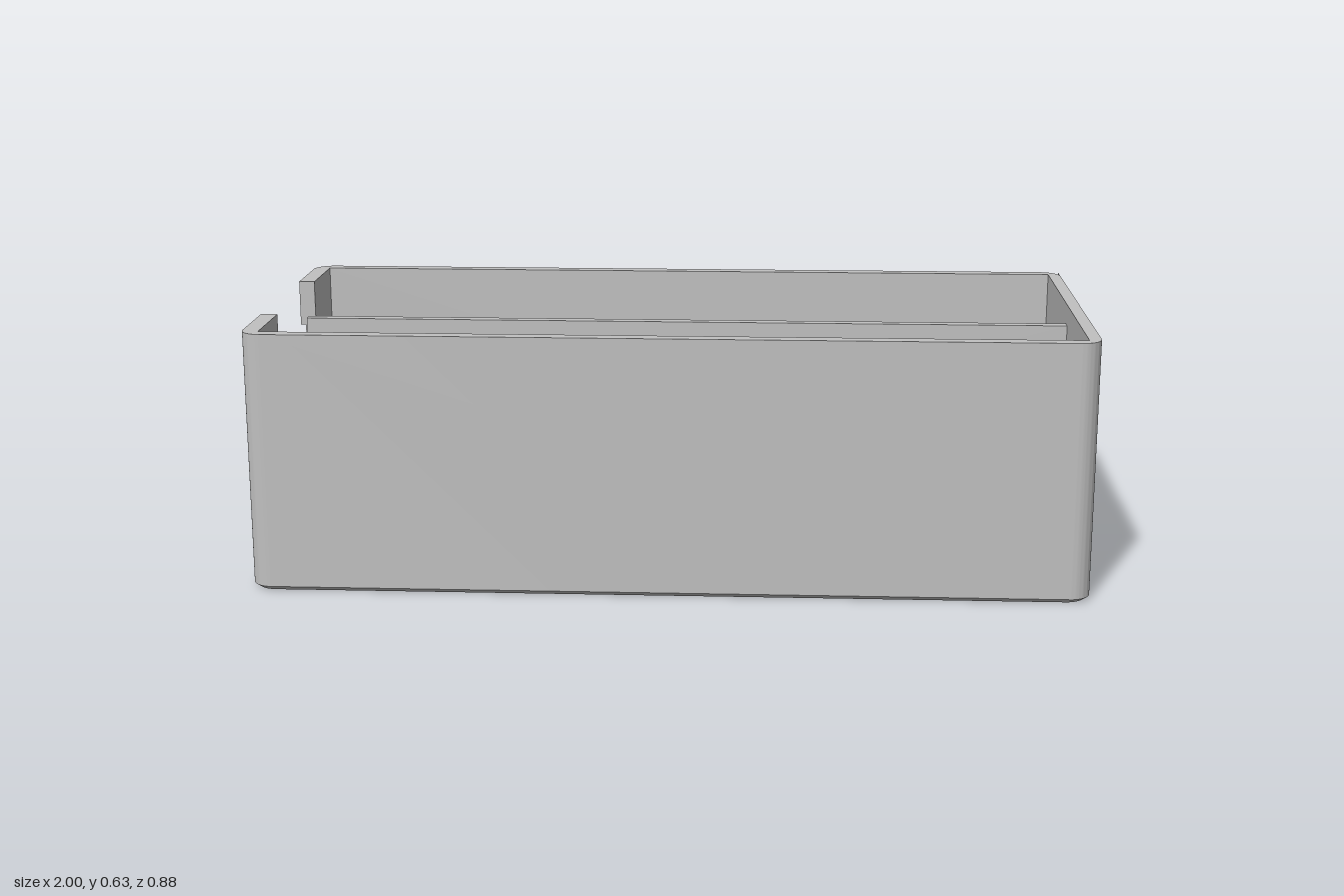
import * as THREE from 'three';
import { toCreasedNormals } from 'three/addons/utils/BufferGeometryUtils.js';

const W = 1, D = 0.442, H = 0.627, R = 0.05;   // half width, half depth, height, corner radius
const IN_L = -0.96, IN_R = 0.97, IN_Z = 0.408; // cavity limits
const LIP = 0.01, FLOOR = 0.03;                // bottom chamfer height, floor top
const NOTCH_Y = 0.485, NOTCH_Z = 0.21;

const polygon = (pts) => new THREE.Shape(pts.map(([x, y]) => new THREE.Vector2(x, y)));

// Outer rounded outline, running from the -x end all the way round back to it
function outline() {
  const s = new THREE.Shape();
  s.moveTo(-W, -D + R);
  s.absarc(-W + R, -D + R, R, Math.PI, Math.PI * 1.5);
  s.absarc(W - R, -D + R, R, Math.PI * 1.5, Math.PI * 2);
  s.absarc(W - R, D - R, R, 0, Math.PI / 2);
  s.absarc(-W + R, D - R, R, Math.PI / 2, Math.PI);
  return s;
}

// Row of drain holes towards the front
function addDrainHoles(shape) {
  for (let i = 0; i < 7; i++) {
    const hole = new THREE.Path();
    hole.absarc(-0.795 + i * 0.2465, -0.22, 0.032, 0, Math.PI * 2, true);
    shape.holes.push(hole);
  }
  return shape;
}

const extrude = (shape, depth) =>
  new THREE.ExtrudeGeometry(shape, { depth, bevelEnabled: false, curveSegments: 12 });

// Plan shape (x, -z) raised from y0 to y1
const raise = (shape, y0, y1) => extrude(shape, y1 - y0).rotateX(-Math.PI / 2).translate(0, y0, 0);

// End shape (z, y) extruded towards -x from x0 to x1
const endSlab = (shape, x0, x1) => extrude(shape, x0 - x1).rotateY(-Math.PI / 2).translate(x0, 0, 0);

// Mirror half an end outline, given from the outer bottom to the centre
const mirrored = (half) => polygon([...half, ...half.map(([z, y]) => [-z, y]).reverse()]);

export function createModel() {
  const group = new THREE.Group();
  const grey = new THREE.MeshStandardMaterial({ color: 0xc0c0c0, side: THREE.DoubleSide });
  grey.name = 'plain grey';
  const add = (name, geometry) => {
    const mesh = new THREE.Mesh(toCreasedNormals(geometry, 0.6), grey);
    mesh.name = name;
    group.add(mesh);
  };

  // Base plate, its lower edge drawn in to form the chamfer
  const base = raise(addDrainHoles(outline()), 0, LIP);
  const p = base.attributes.position;
  for (let i = 0; i < p.count; i++) {
    const x = p.getX(i), z = p.getZ(i);
    const onRim = Math.abs(x) > W - R - 0.001 || Math.abs(z) > D - R - 0.001;
    if (p.getY(i) < LIP / 2 && onRim) {
      p.setX(i, x * (W - LIP) / W);
      p.setZ(i, z * (D - LIP) / D);
    }
  }
  base.computeVertexNormals();
  add('base', base);

  // Cavity floor
  add('floor', raise(addDrainHoles(polygon([
    [IN_L, -IN_Z], [IN_R, -IN_Z], [IN_R, IN_Z], [IN_L, IN_Z],
  ])), LIP, FLOOR));

  // Front, back and plain end wall with all four rounded corners
  const walls = outline();
  [[IN_L, D - R], [IN_L, IN_Z], [IN_R, IN_Z], [IN_R, -IN_Z], [IN_L, -IN_Z], [IN_L, -D + R]]
    .forEach(([x, y]) => walls.lineTo(x, y));
  add('walls', raise(walls, LIP, H));

  // Notched end wall: inner layer, then outer layer with two shallow label recesses
  const e = D - R;
  add('notchedEndInner', endSlab(mirrored([
    [e, LIP], [e, H], [NOTCH_Z, H], [NOTCH_Z, NOTCH_Y],
  ]), IN_L, -0.987));
  add('notchedEndOuter', endSlab(mirrored([
    [e, LIP], [e, H], [NOTCH_Z, H], [NOTCH_Z, 0.512], [0.362, 0.512],
    [0.362, 0.385], [0.076, 0.385], [0.076, NOTCH_Y],
  ]), -0.987, -W));

  // Long divider, stepped down beside the notch
  add('divider', extrude(polygon([
    [IN_L, FLOOR], [IN_R, FLOOR], [IN_R, 0.577], [-0.933, 0.577], [-0.933, NOTCH_Y], [IN_L, NOTCH_Y],
  ]), 0.028).translate(0, 0, -0.014));

  // Thin flange continuing the plain end past its back corner
  add('cornerFlange', new THREE.PlaneGeometry(R, H - LIP)
    .rotateY(Math.PI / 2).translate(W, (H + LIP) / 2, -D + R / 2));

  return group;
}
